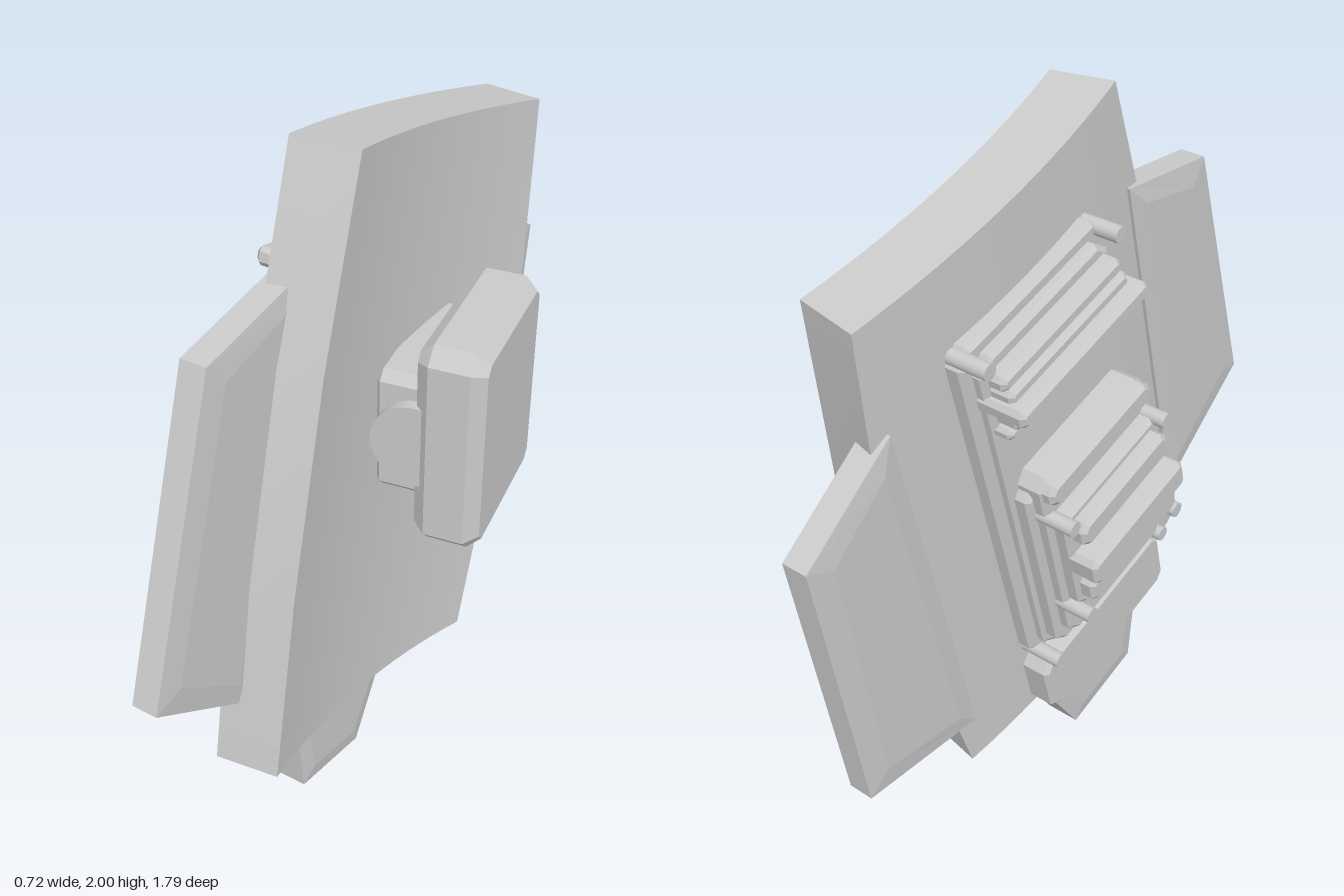
import * as THREE from 'three';
import { toCreasedNormals } from 'three/addons/utils/BufferGeometryUtils.js';

const grey = new THREE.MeshStandardMaterial({ color: 0xcacaca });
grey.name = 'light grey';

function add(parent, name, geometry) {
  const mesh = new THREE.Mesh(geometry, grey);
  mesh.name = name;
  parent.add(mesh);
  return mesh;
}

// Flat plate: outline in [forward z, up y], thickness from x0 to x1, chamfered rims
function plate(outline, x0, x1, bevelDepth, bevelWidth) {
  const shape = new THREE.Shape(outline.map(([h, v]) => new THREE.Vector2(-h, v)));
  const geo = new THREE.ExtrudeGeometry(shape, {
    depth: x1 - x0 - 2 * bevelDepth, bevelEnabled: true, bevelSegments: 1,
    bevelThickness: bevelDepth, bevelSize: bevelWidth, bevelOffset: -bevelWidth,
  });
  geo.rotateY(Math.PI / 2);
  geo.translate(x0 + bevelDepth, 0, 0);
  return geo;
}

// Rectangle outline with cut corners
function cutRect(z0, z1, y0, y1, c) {
  return [[z0 + c, y0], [z1 - c, y0], [z1, y0 + c], [z1, y1 - c],
    [z1 - c, y1], [z0 + c, y1], [z0, y1 - c], [z0, y0 + c]];
}

// Curved body: arc cross-sections stacked upwards
function curvedBody() {
  const R = 2.67, T = 0.17, N = 16, sag = 0.043;
  const rows = [[-0.808, 0.49], [-0.274, 0.52], [0.3, 0.505], [0.805, 0.44]];
  const pos = [], idx = [], L = 2 * (N + 1);
  for (const [v, hw] of rows) {
    const half = Math.asin(hw / R);
    for (let j = 0; j < L; j++) {
      const outer = j <= N;
      const k = outer ? j : L - 1 - j;
      const a = half * (2 * k / N - 1);
      const r = outer ? R + T : R;
      pos.push(R - sag - r * Math.cos(a), v, r * Math.sin(a));
    }
  }
  const quad = (a, b, c, d) => idx.push(a, b, c, a, c, d);
  for (let r = 0; r < rows.length - 1; r++) {
    for (let j = 0; j < L; j++) {
      const n = (j + 1) % L;
      quad(r * L + j, r * L + n, (r + 1) * L + n, (r + 1) * L + j);
    }
  }
  const top = (rows.length - 1) * L;
  for (let j = 0; j < N; j++) {
    const k = L - 1 - j;
    quad(top + j, top + j + 1, top + k - 1, top + k);
    quad(k, k - 1, j + 1, j);
  }
  const geo = new THREE.BufferGeometry();
  geo.setAttribute('position', new THREE.Float32BufferAttribute(pos, 3));
  geo.setIndex(idx);
  return toCreasedNormals(geo, 0.4);
}

export function createModel() {
  const model = new THREE.Group();
  model.name = 'armShield';

  // Tilted shield assembly: outer face towards -x
  const shield = new THREE.Group();
  shield.name = 'shield';
  shield.position.set(0.127, 1.112, -0.023);
  shield.rotation.set(-0.241, -0.166, -0.039);
  model.add(shield);

  add(shield, 'curvedBody', curvedBody());

  // Side wings, mirrored front and back
  for (const s of [1, -1]) {
    const outline = [[0.46, 0.5], [0.785, 0.372], [0.866, -0.47], [0.48, -0.635]];
    add(shield, s > 0 ? 'frontWing' : 'backWing',
      plate(outline.map(([h, v]) => [h * s, v]), -0.192, -0.106, 0.008, 0.07));
  }

  // Lower fin
  add(shield, 'lowerFin',
    plate([[-0.27, -0.72], [0.27, -0.72], [0.142, -1.104], [-0.142, -1.104]], -0.215, -0.1, 0.008, 0.05));

  // Stacked panels, bars and blocks: half width, bottom, top, outer x, corner cut
  const stack = [
    ['basePanel', 0.275, -0.56, 0.59, -0.245, 0.04],
    ['raisedPanel', 0.245, -0.54, 0.555, -0.275, 0.04],
    ['upperBar', 0.23, 0.475, 0.52, -0.32, 0.012],
    ['louverBar', 0.25, 0.405, 0.455, -0.375, 0.012],
    ['louverBase', 0.23, 0.36, 0.485, -0.335, 0.012],
    ['lowerBar', 0.24, 0.325, 0.36, -0.315, 0.01],
    ['middlePanel', 0.235, -0.5, 0.13, -0.315, 0.03],
    ['innerPanel', 0.215, -0.45, 0.165, -0.35, 0.03],
    ['panelHeader', 0.21, 0.085, 0.155, -0.375, 0.02],
    ['centreBase', 0.2, -0.31, 0.045, -0.39, 0.02],
    ['centreTopBar', 0.185, -0.06, 0.02, -0.43, 0.02],
    ['centreBar', 0.2, -0.175, -0.09, -0.46, 0.015],
    ['centreLowerBar', 0.19, -0.275, -0.195, -0.43, 0.015],
    ['bottomBox', 0.28, -0.8, -0.59, -0.28, 0.03],
  ];
  for (const [name, hw, v0, v1, x, c] of stack) {
    add(shield, name, plate(cutRect(-hw, hw, v0, v1, c), x, -0.17, 0.012, 0.012));
  }

  // Corner pins
  for (const [h, v, x] of [[0.25, 0.565, -0.31], [0.25, -0.545, -0.32], [0.2, 0.035, -0.42], [0.2, -0.32, -0.42]]) {
    for (const s of [1, -1]) {
      const pin = add(shield, 'pin', new THREE.CylinderGeometry(0.021, 0.021, 0.14, 16));
      pin.rotation.z = Math.PI / 2;
      pin.position.set(x + 0.07, v, h * s);
    }
  }

  // Upright mount on the inner side
  const mount = new THREE.Group();
  mount.name = 'mount';
  model.add(mount);
  add(mount, 'mountBox', plate(cutRect(-0.305, 0.157, 0.903, 1.49, 0.04), 0.185, 0.36, 0.035, 0.03));
  add(mount, 'mountBracket', plate(cutRect(-0.28, 0.11, 1.015, 1.37, 0.025), 0.07, 0.2, 0.012, 0.015));
  const hub = add(mount, 'mountHub', new THREE.CylinderGeometry(0.118, 0.118, 0.4, 32));
  hub.rotation.x = Math.PI / 2;
  hub.position.set(0.187, 1.195, -0.058);

  return model;
}
